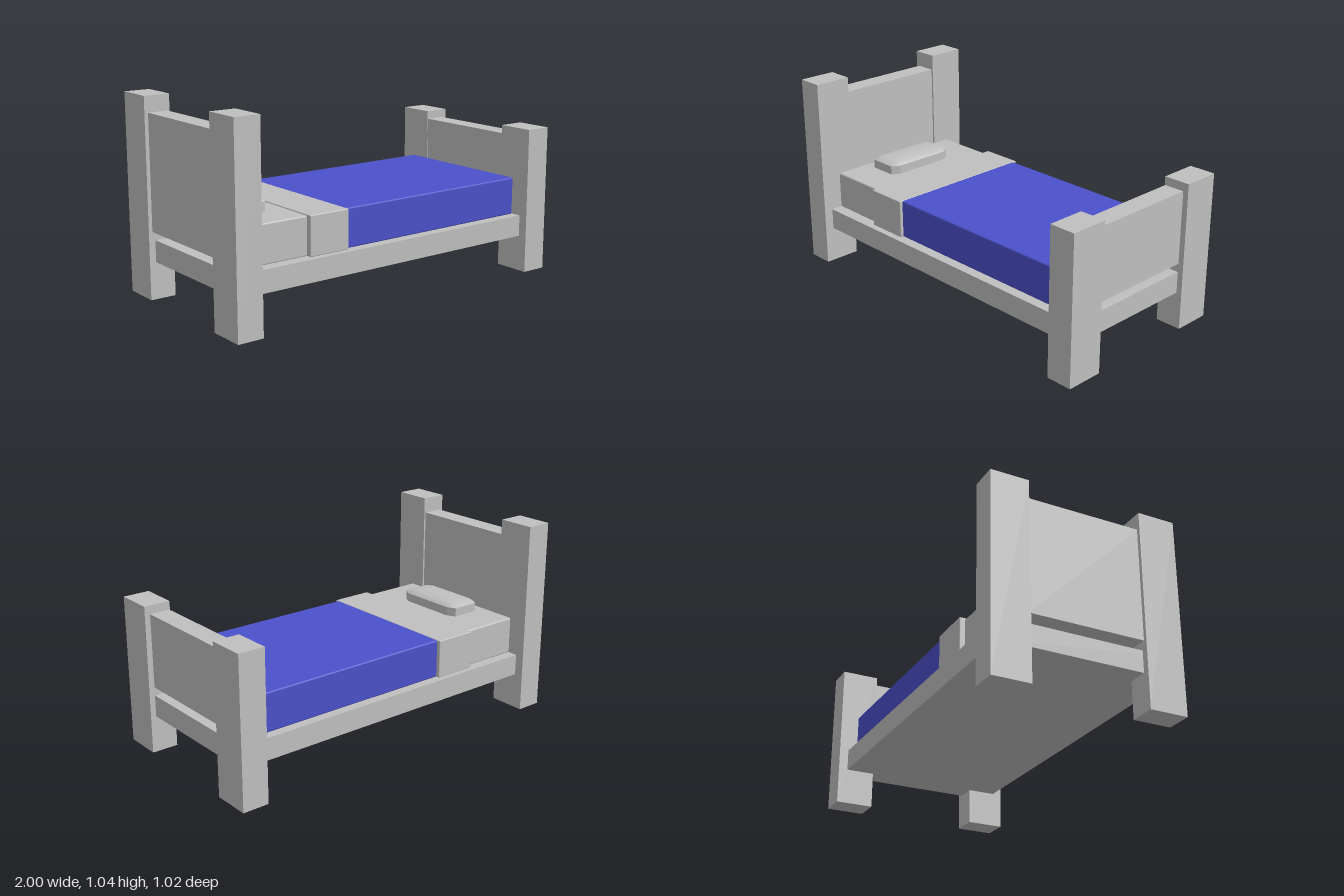
import * as THREE from 'three';
import { RoundedBoxGeometry } from 'three/addons/geometries/RoundedBoxGeometry.js';

export function createModel() {
  const bed = new THREE.Group();
  bed.name = 'bed';
  const grey = new THREE.MeshStandardMaterial({ color: 0xc0c0c0 });
  grey.name = 'pale grey';
  const blue = new THREE.MeshStandardMaterial({ color: 0x4b51ca });
  blue.name = 'blanket blue';

  function add(name, geometry, material, parent = bed) {
    const mesh = new THREE.Mesh(geometry, material);
    mesh.name = name;
    parent.add(mesh);
    return mesh;
  }

  // Box given by its lower and upper limits, with optional softened edges
  function box(name, [x0, x1], [y0, y1], [z0, z1], material = grey, radius = 0) {
    const size = [x1 - x0, y1 - y0, z1 - z0];
    const geometry = radius
      ? new RoundedBoxGeometry(...size, 2, radius)
      : new THREE.BoxGeometry(...size);
    add(name, geometry, material).position.set((x0 + x1) / 2, (y0 + y1) / 2, (z0 + z1) / 2);
  }

  // Corner posts
  for (const [side, z] of [['Front', [0.305, 0.508]], ['Back', [-0.508, -0.305]]]) {
    box('headPost' + side, [-1, -0.86], [0, 1.045], z);
    box('footPost' + side, [0.857, 1], [0, 0.79], z);
  }

  // Panels between the posts, and the base slab
  box('headboard', [-0.98, -0.87], [0.355, 0.96], [-0.31, 0.31]);
  box('footboard', [0.86, 0.97], [0.355, 0.745], [-0.31, 0.31]);
  box('base', [-0.965, 0.97], [0.195, 0.31], [-0.458, 0.458]);

  // Bedding
  box('mattress', [-0.865, 0.83], [0.308, 0.51], [-0.402, 0.395], grey, 0.008);
  box('foldedSheet', [-0.53, -0.30], [0.31, 0.516], [-0.432, 0.425], grey, 0.005);
  box('blanket', [-0.305, 0.85], [0.31, 0.515], [-0.412, 0.408], blue, 0.008);

  // Pillow: eight-sided body with a smooth, shallow dome
  const pillow = new THREE.Group();
  pillow.name = 'pillow';
  pillow.position.set(-0.713, 0.512, 0.002);
  bed.add(pillow);
  const hx = 0.099, hz = 0.202, cx = 0.025, cz = 0.045;
  const outline = [
    [hx, hz - cz], [hx - cx, hz], [cx - hx, hz], [-hx, hz - cz],
    [-hx, cz - hz], [cx - hx, -hz], [hx - cx, -hz], [hx, cz - hz],
  ];
  const shape = new THREE.Shape(outline.map(([x, z]) => new THREE.Vector2(x, -z)));
  const body = new THREE.ExtrudeGeometry(shape, { depth: 0.047, bevelEnabled: false });
  body.rotateX(-Math.PI / 2);
  add('pillowBody', body, grey, pillow);

  const rings = [[1, 0.047], [0.85, 0.058], [0.6, 0.064], [0.3, 0.067], [0, 0.068]];
  const points = [], faces = [];
  rings.forEach(([s, y], r) => {
    outline.forEach(([x, z], i) => {
      // Inset evenly from the rim so the long pillow keeps its rounded sides
      points.push(x * s, y, z * (s + (1 - s) * 0.35));
      if (r === 0) return;
      const j = (i + 1) % 8, a = (r - 1) * 8, b = r * 8;
      faces.push(a + i, b + j, a + j, a + i, b + i, b + j);
    });
  });
  // Close the centre ridge
  const dome = new THREE.BufferGeometry();
  dome.setAttribute('position', new THREE.Float32BufferAttribute(points, 3));
  // The outline runs from +z towards -x, so faces are turned to look upward
  for (let k = 0; k < faces.length; k += 3) {
    const p = faces.slice(k, k + 3).map(n => new THREE.Vector3().fromArray(points, n * 3));
    const up = p[1].clone().sub(p[0]).cross(p[2].clone().sub(p[0])).y;
    if (up < 0) [faces[k + 1], faces[k + 2]] = [faces[k + 2], faces[k + 1]];
  }
  dome.setIndex(faces);
  dome.computeVertexNormals();
  add('pillowDome', dome, grey, pillow);

  return bed;
}
